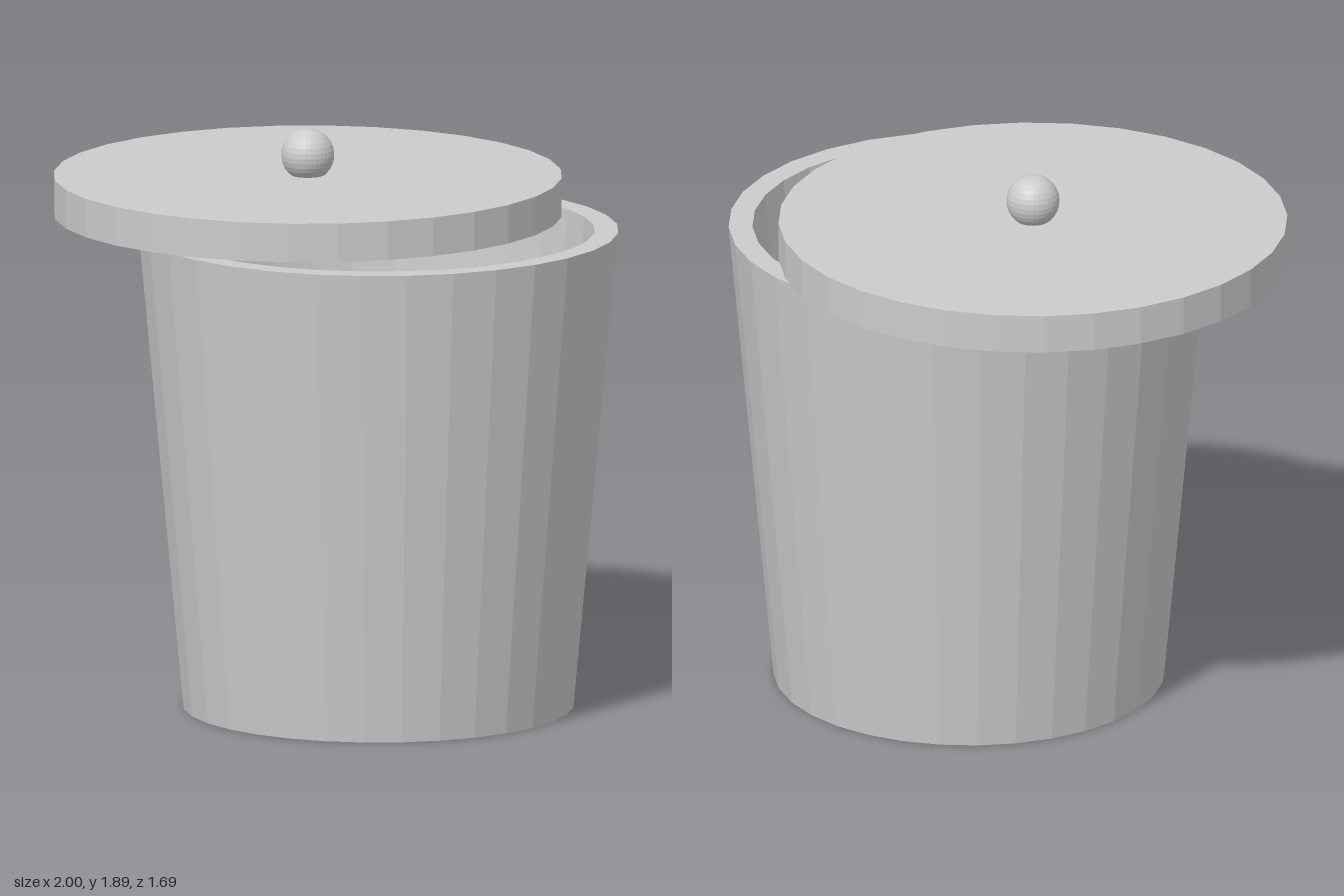
import * as THREE from 'three';

const SIDES = 32;

export function createModel() {
  const model = new THREE.Group();
  const material = new THREE.MeshStandardMaterial({ color: 0xcccccc, flatShading: true });

  const add = (name, geometry, x, y) => {
    const mesh = new THREE.Mesh(geometry, material);
    mesh.name = name;
    mesh.position.set(x, y, 0);
    model.add(mesh);
  };

  // Tapered hollow bin: base, outer wall, rim, inner wall, inner floor
  const profile = [[0, 0], [0.648, 0], [0.797, 1.603], [0.718, 1.603], [0.592, 0.08], [0, 0.08]]
    .map(([r, y]) => new THREE.Vector2(r, y));
  add('bin', new THREE.LatheGeometry(profile, SIDES), 0.2, 0);

  // Flat lid slid to one side, resting on the rim
  add('lid', new THREE.CylinderGeometry(0.843, 0.843, 0.13, SIDES), -0.157, 1.67);

  // Round knob sunk slightly into the lid
  add('knob', new THREE.SphereGeometry(0.088, SIDES, 16), -0.157, 1.803);

  return model;
}
